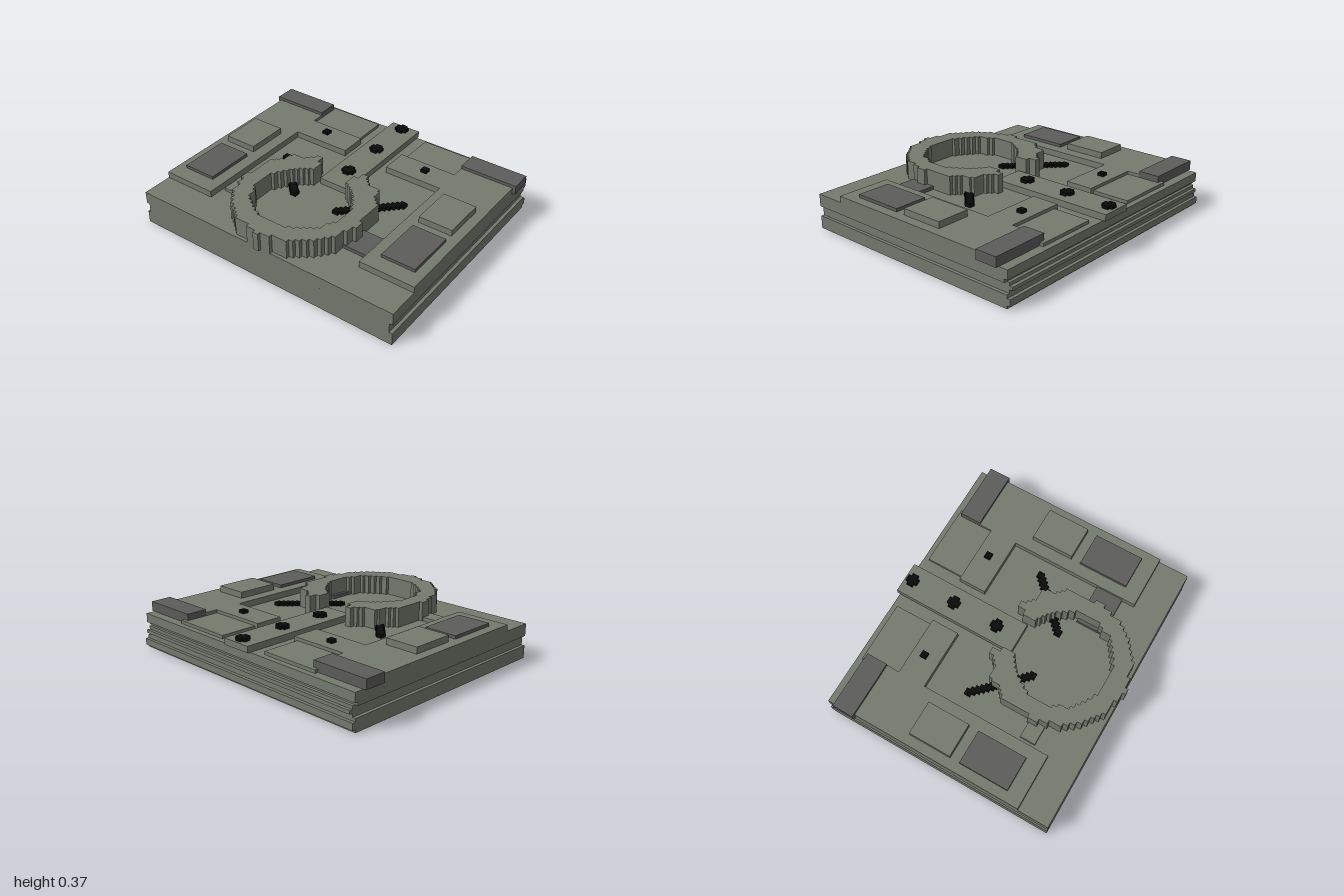
import * as THREE from 'three';

const STEP = 0.0235;
const FLOOR = 0.24;
const DECK = 0.284;

// Turns a list of [x, z] points into a staircase outline on a small grid
function stairs(points) {
  const out = [points[0]];
  for (let i = 1; i < points.length; i++) {
    const [ax, az] = points[i - 1], [bx, bz] = points[i];
    const dx = bx - ax, dz = bz - az;
    const low = Math.min(Math.abs(dx), Math.abs(dz));
    if (low < 0.001) { out.push([bx, bz]); continue; }
    const n = Math.max(1, Math.round(low / STEP));
    for (let k = 1; k <= n; k++) {
      const x = ax + dx * k / n, z = az + dz * k / n;
      out.push([x, az + dz * (k - 1) / n], [x, z]);
    }
  }
  return out;
}

export function createModel() {
  const model = new THREE.Group();
  model.name = 'squareBaseTile';
  const mat = (name, color) => {
    const m = new THREE.MeshStandardMaterial({ color });
    m.name = name;
    return m;
  };
  const green = mat('greyGreen', 0x757b6f);
  const grey = mat('darkGrey', 0x5c5d5b);
  const black = mat('black', 0x0a0a0a);

  const add = (name, geometry, material) => {
    const mesh = new THREE.Mesh(geometry, material);
    mesh.name = name;
    model.add(mesh);
    return mesh;
  };
  // Box given by its limits on each axis
  const box = (name, material, x0, x1, y0, y1, z0, z1) =>
    add(name, new THREE.BoxGeometry(x1 - x0, y1 - y0, z1 - z0), material)
      .position.set((x0 + x1) / 2, (y0 + y1) / 2, (z0 + z1) / 2);
  // The same box on both sides
  const pair = (name, material, x0, x1, y0, y1, z0, z1) => {
    box(name + 'Left', material, x0, x1, y0, y1, z0, z1);
    box(name + 'Right', material, -x1, -x0, y0, y1, z0, z1);
  };

  // Slab in layers: side groove and back ridges [bottom, top, half width, back z]
  const layers = [
    [0, 0.02, 0.978, -0.815], [0.02, 0.065, 0.978, -0.837],
    [0.065, 0.087, 0.978, -0.815], [0.087, 0.11, 0.956, -0.815],
    [0.11, 0.133, 0.956, -0.837], [0.133, 0.155, 0.956, -0.815],
    [0.155, 0.178, 0.978, -0.795], [0.178, FLOOR, 0.978, -0.818],
  ];
  layers.forEach(([y0, y1, w, back], i) =>
    box('slabLayer' + i, green, -w, w, y0, y1, back, 0.813));

  // Raised decks and low plates
  pair('sideDeck', green, 0.592, 0.978, FLOOR, DECK, -0.605, 0.597);
  pair('deckArm', green, 0.172, 0.592, FLOOR, DECK, -0.515, -0.32);
  pair('backPlate', green, 0.2, 0.63, FLOOR, 0.262, -0.78, -0.515);
  box('centreStrip', green, -0.11, 0.11, FLOOR, DECK, -0.837, 0.048);
  pair('cornerBlock', grey, 0.592, 1, FLOOR, 0.306, -0.755, -0.605);
  pair('deckBlock', green, 0.675, 0.912, DECK, 0.328, -0.23, 0.07);
  pair('deckPanel', grey, 0.675, 0.912, DECK, 0.306, 0.138, 0.487);

  // Pieces running beneath the ring
  box('ringTabLeft', grey, 0.307, 0.592, FLOOR, 0.264, 0.315, 0.508);
  box('ringTabRight', green, -0.567, -0.4, FLOOR, 0.264, 0.38, 0.487);

  // Horned open ring, one half from inner front over the horn to outer front
  const half = stairs([
    [0, 0.685], [0.07, 0.685], [0.16, 0.64], [0.26, 0.57], [0.285, 0.5], [0.33, 0.44],
    [0.33, 0.29], [0.307, 0.25], [0.26, 0.18], [0.215, 0.135], [0.13, 0.075], [0.13, 0],
    [0.165, -0.055], [0.19, -0.055], [0.21, -0.02], [0.26, 0.025], [0.35, 0.05],
    [0.365, 0.115], [0.41, 0.16], [0.435, 0.23], [0.435, 0.37], [0.46, 0.37], [0.46, 0.44],
    [0.435, 0.5], [0.41, 0.585], [0.33, 0.69], [0.26, 0.74], [0.2, 0.79], [0.09, 0.79],
    [0.09, 0.815], [0.02, 0.815], [0.02, 0.837],
  ]);
  const outline = half.concat(half.slice(1).reverse().map(([x, z]) => [-x, z]));
  const shape = new THREE.Shape(outline.map(([x, z]) => new THREE.Vector2(x, -z)));
  const ring = new THREE.ExtrudeGeometry(shape, { depth: 0.37 - FLOOR, bevelEnabled: false });
  ring.rotateX(-Math.PI / 2).translate(0, FLOOR, 0);
  add('hornedRing', ring, green);

  // Black studs: three crosses on the strip, one square on each arm
  for (const z of [-0.78, -0.455, -0.125]) {
    box('strapStudWide', black, -0.043, 0.043, DECK, 0.306, z - 0.022, z + 0.022);
    box('strapStudLong', black, -0.022, 0.022, DECK, 0.306, z - 0.041, z + 0.041);
  }
  pair('armStud', black, 0.39, 0.435, DECK, 0.306, -0.452, -0.408);

  // Black diagonal bars in stepped pieces
  const bar = (name, x0, z0, x1, z1, n) => {
    for (let i = 0; i < n; i++) {
      const t = i / (n - 1);
      const x = x0 + (x1 - x0) * t, z = z0 + (z1 - z0) * t;
      pair(name + i, black, x - 0.022, x + 0.022, FLOOR, 0.264, z - 0.022, z + 0.022);
    }
  };
  bar('outerBar', 0.478, -0.057, 0.368, 0.055, 6);
  box('outerBarEndLeft', black, 0.346, 0.37, FLOOR, 0.264, 0.05, 0.092);
  box('outerBarEndRight', black, -0.37, -0.346, FLOOR, 0.264, 0.05, 0.092);
  bar('innerBar', 0.237, 0.182, 0.172, 0.246, 4);

  return model;
}
